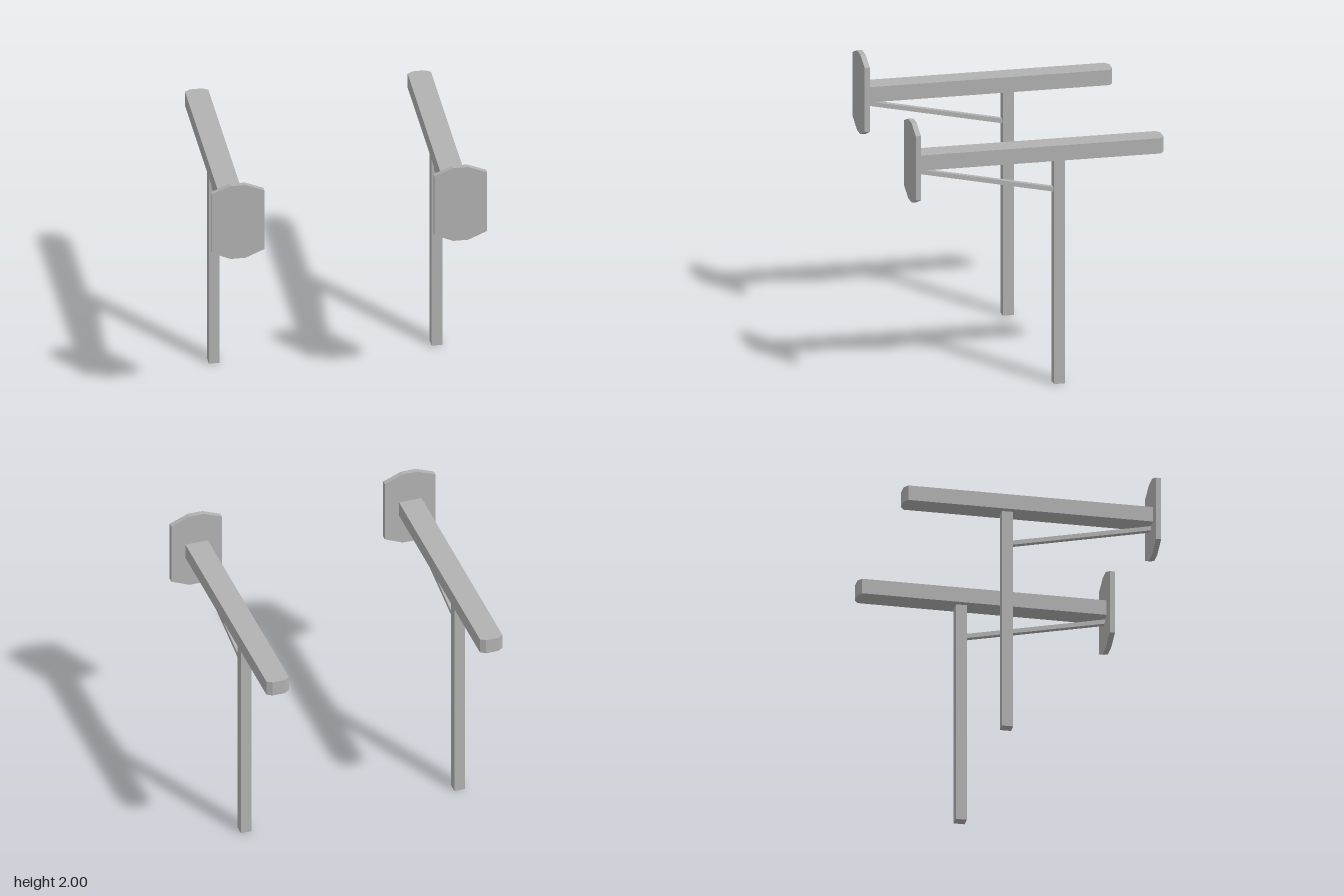
import * as THREE from 'three';

const grey = new THREE.MeshStandardMaterial({ color: 0xb2b2b2 });
grey.name = 'plain grey';

function part(name, geometry) {
  const mesh = new THREE.Mesh(geometry, grey);
  mesh.name = name;
  return mesh;
}

// Flat outline extruded along its local z
function slab(points, depth) {
  const shape = new THREE.Shape(points.map(([x, y]) => new THREE.Vector2(x, y)));
  return new THREE.ExtrudeGeometry(shape, { depth, bevelEnabled: false });
}

function createStand(name, x) {
  const stand = new THREE.Group();
  stand.name = name;
  stand.position.x = x;

  // Upright post
  stand.add(part('post', new THREE.BoxGeometry(0.077, 1.655, 0.079).translate(0, 0.8275, -0.161)));

  // Horizontal beam with clipped corners at the back end (outline in x and -z)
  const beam = slab([
    [-0.083, -0.868], [0.083, -0.868], [0.083, 0.879],
    [0.045, 0.905], [-0.045, 0.905], [-0.083, 0.879],
  ], 0.112);
  stand.add(part('beam', beam.rotateX(-Math.PI / 2).translate(0, 1.655, 0)));

  // Front panel with clipped corners
  const panel = slab([
    [-0.187, 1.474], [-0.053, 1.416], [0.053, 1.416], [0.187, 1.474],
    [0.187, 1.946], [0.053, 2], [-0.053, 2], [-0.187, 1.946],
  ], 0.037);
  stand.add(part('frontPanel', panel.translate(0, 0, 0.868)));

  // Sloping brace from post to panel (outline in -z and y)
  const brace = slab([
    [-0.868, 1.616], [0.122, 1.41], [0.122, 1.443], [-0.868, 1.649],
  ], 0.04);
  stand.add(part('brace', brace.translate(0, 0, -0.02).rotateY(Math.PI / 2)));

  return stand;
}

export function createModel() {
  const model = new THREE.Group();
  model.name = 'pairOfStands';
  model.add(createStand('leftStand', 0.789), createStand('rightStand', -0.789));
  return model;
}
